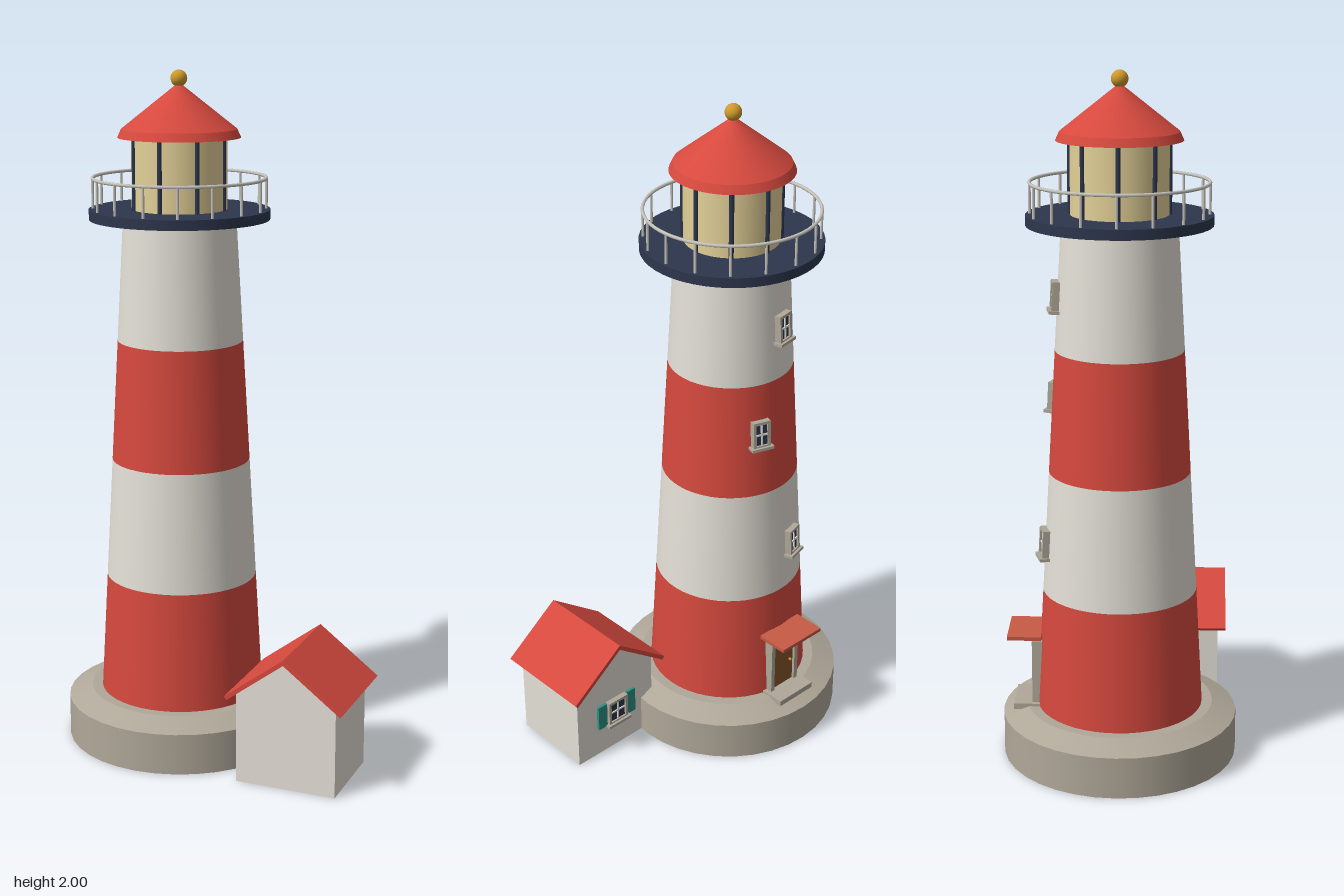
import * as THREE from 'three';

const mat = (name, color) => {
  const m = new THREE.MeshStandardMaterial({ color });
  m.name = name;
  return m;
};

export function createModel() {
  const red = mat('red paint', 0xd6493e);
  const white = mat('white paint', 0xe4e0d7);
  const stone = mat('stone', 0xb0a899);
  const navy = mat('navy', 0x2d364d);
  const glass = mat('lamp glass', 0xe3d198);
  const gold = mat('gold', 0xd09a2c);
  const brown = mat('door wood', 0x84522a);
  const teal = mat('teal shutters', 0x2a8f84);
  const terracotta = mat('terracotta', 0xc65a44);
  const rail = mat('rail metal', 0xc9c6bd);

  const model = new THREE.Group();
  model.name = 'lighthouse';
  const tower = new THREE.Group();
  tower.name = 'tower';
  tower.position.x = -0.141;
  model.add(tower);

  const add = (parent, name, geo, material, x = 0, y = 0, z = 0) => {
    const m = new THREE.Mesh(geo, material);
    m.name = name;
    m.position.set(x, y, z);
    parent.add(m);
    return m;
  };
  const box = (parent, name, w, h, d, material, x, y, z) =>
    add(parent, name, new THREE.BoxGeometry(w, h, d), material, x, y, z);
  // round part between two heights
  const ring = (parent, name, rBottom, rTop, y0, y1, material, sides = 48, open = false) =>
    add(parent, name, new THREE.CylinderGeometry(rTop, rBottom, y1 - y0, sides, 1, open), material, 0, (y0 + y1) / 2, 0);

  // plinth with sloped top edge
  ring(tower, 'plinth', 0.345, 0.345, 0, 0.123, stone, 36);
  ring(tower, 'plinthSlope', 0.345, 0.275, 0.123, 0.152, stone, 36);

  // tapered shaft in four painted bands
  const Y0 = 0.15, Y1 = 1.58;
  const radiusAt = (y) => 0.244 - 0.08 * (y - Y0) / (Y1 - Y0);
  for (let i = 0; i < 4; i++) {
    const a = Y0 + (Y1 - Y0) * i / 4, b = Y0 + (Y1 - Y0) * (i + 1) / 4;
    ring(tower, 'shaftBand', radiusAt(a), radiusAt(b), a, b, i % 2 ? white : red, 48, true);
  }

  // gallery deck and railing
  ring(tower, 'galleryDeck', 0.262, 0.262, 1.577, 1.606, navy);
  const hoop = add(tower, 'handRail', new THREE.TorusGeometry(0.25, 0.005, 6, 64), rail, 0, 1.695, 0);
  hoop.rotation.x = Math.PI / 2;
  for (let i = 0; i < 16; i++) {
    const a = i * Math.PI / 8;
    add(tower, 'railPost', new THREE.CylinderGeometry(0.004, 0.004, 0.09, 6), rail,
      0.25 * Math.sin(a), 1.65, 0.25 * Math.cos(a));
  }

  // lantern room with glazing bars
  ring(tower, 'lanternGlass', 0.138, 0.138, 1.606, 1.812, glass);
  for (let i = 0; i < 8; i++) {
    const a = i * Math.PI / 4;
    add(tower, 'glazingBar', new THREE.CylinderGeometry(0.007, 0.007, 0.206, 8), navy,
      0.138 * Math.sin(a), 1.709, 0.138 * Math.cos(a));
  }

  // roof and finial
  ring(tower, 'roofRim', 0.177, 0.166, 1.81, 1.834, red);
  add(tower, 'roofCone', new THREE.ConeGeometry(0.166, 0.131, 48), red, 0, 1.8995, 0);
  add(tower, 'finial', new THREE.SphereGeometry(0.024, 20, 14), gold, 0, 1.976, 0);

  // small window facing local +z
  const makeWindow = (w, h) => {
    const g = new THREE.Group();
    g.name = 'window';
    const t = 0.009;
    box(g, 'pane', w - t, h - t, 0.012, navy, 0, 0, 0.002);
    for (const s of [-1, 1]) {
      box(g, 'frameSide', t, h, 0.024, stone, s * (w - t) / 2, 0, 0.002);
      box(g, 'frameRail', w, t, 0.024, stone, 0, s * (h - t) / 2, 0.002);
    }
    box(g, 'barUpright', 0.005, h - t, 0.005, white, 0, 0, 0.009);
    box(g, 'barCross', w - t, 0.005, 0.005, white, 0, 0, 0.009);
    box(g, 'sill', w + 0.014, 0.009, 0.032, stone, 0, -h / 2, 0.006);
    return g;
  };

  // shaft windows climbing the rear, leaning with the wall
  for (const [y, angle] of [[1.38, -0.17], [1.07, 0.31], [0.66, -0.27]]) {
    const turn = new THREE.Group();
    turn.name = 'shaftWindow';
    turn.rotation.y = Math.PI - angle;
    const w = makeWindow(0.055, 0.085);
    w.position.set(0, y, radiusAt(y) + 0.004);
    w.rotation.x = -0.056;
    turn.add(w);
    tower.add(turn);
  }

  // rear entrance
  const door = new THREE.Group();
  door.name = 'entrance';
  door.rotation.y = Math.PI;
  tower.add(door);
  box(door, 'doorLeaf', 0.086, 0.185, 0.03, brown, 0, 0.245, 0.233);
  for (const s of [-1, 1]) box(door, 'doorPost', 0.014, 0.2, 0.045, stone, s * 0.05, 0.25, 0.234);
  box(door, 'lintel', 0.114, 0.014, 0.045, stone, 0, 0.345, 0.234);
  box(door, 'doorStep', 0.14, 0.018, 0.08, stone, 0, 0.151, 0.27);
  box(door, 'canopy', 0.162, 0.011, 0.1, terracotta, 0, 0.37, 0.277);
  add(door, 'doorKnob', new THREE.SphereGeometry(0.005, 8, 6), gold, 0.03, 0.24, 0.251);

  // keeper's hut
  const hut = new THREE.Group();
  hut.name = 'hut';
  hut.position.x = 0.307;
  model.add(hut);
  const prism = (name, pts, depth, z, material) => add(hut, name,
    new THREE.ExtrudeGeometry(new THREE.Shape(pts.map(([x, y]) => new THREE.Vector2(x, y))),
      { depth, bevelEnabled: false }), material, 0, 0, z);
  prism('hutWalls', [[-0.15, 0], [0.15, 0], [0.15, 0.272], [0, 0.386], [-0.15, 0.272]], 0.262, 0.034, white);
  prism('hutRoof', [[0, 0.385], [0.171, 0.256], [0.179, 0.266], [0, 0.401], [-0.179, 0.266], [-0.171, 0.256]],
    0.316, 0.004, red);

  // shuttered window on the rear gable
  const hutWindow = makeWindow(0.075, 0.085);
  hutWindow.position.set(0, 0.143, 0.031);
  hutWindow.rotation.y = Math.PI;
  for (const s of [-1, 1]) box(hutWindow, 'shutter', 0.034, 0.085, 0.009, teal, s * 0.057, 0, 0.002);
  hut.add(hutWindow);

  return model;
}
